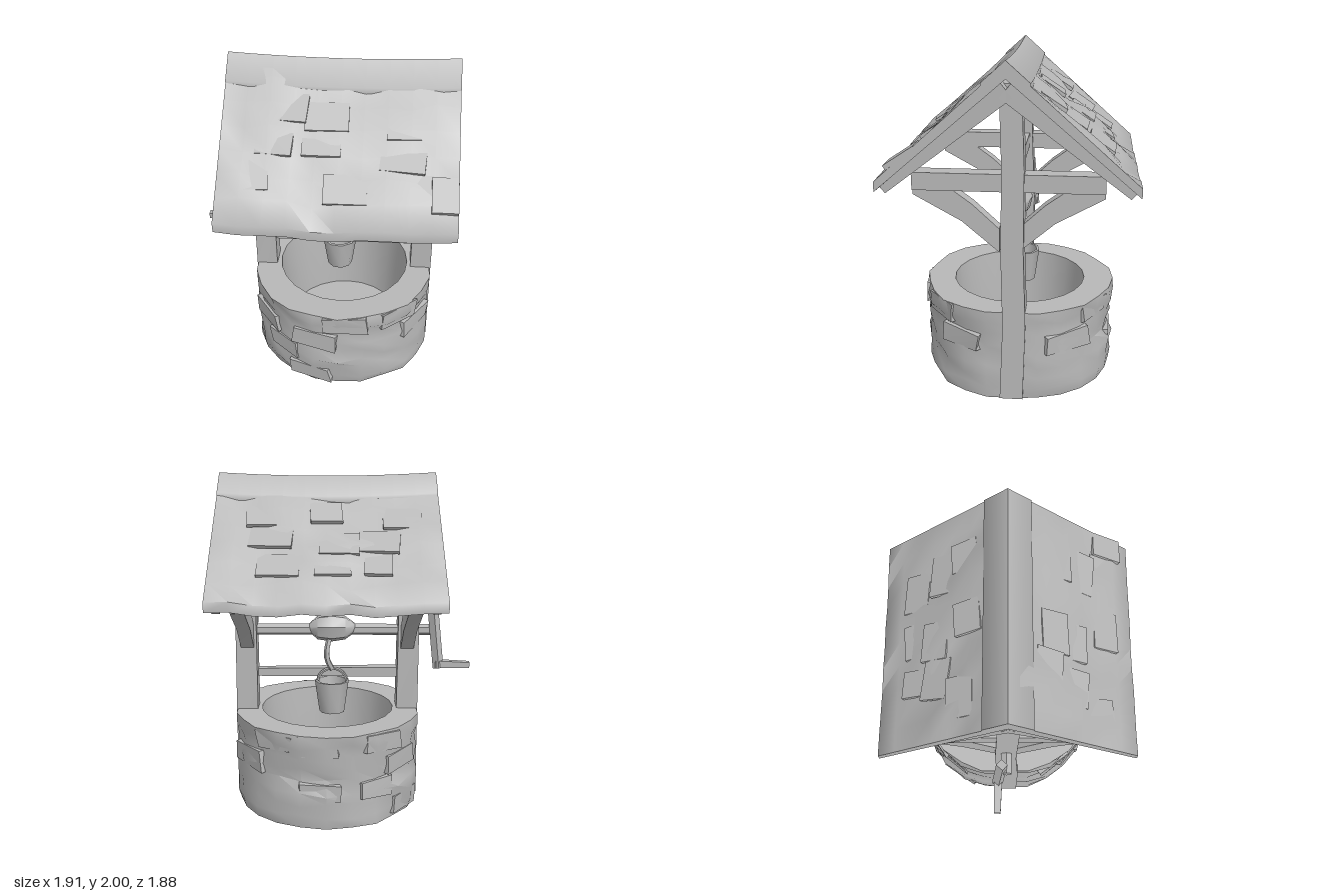
import * as THREE from 'three';
import { toCreasedNormals } from 'three/addons/utils/BufferGeometryUtils.js';

const TURN = 0.617; // the ridge runs diagonally to the front
const SLOPE = 0.73;
const DROP = 0.638; // fall of the roof from ridge to eave
const V = (x, y, z) => new THREE.Vector3(x, y, z);

// repeatable noise in -1..1, equal for equal positions
function noise(x, y, z) {
  const r = (n) => Math.round(n * 500) / 500;
  const s = Math.sin(r(x) * 127.1 + r(y) * 311.7 + r(z) * 74.7) * 43758.5453;
  return (s - Math.floor(s)) * 2 - 1;
}

function bend(geo, rule) {
  const p = geo.attributes.position, v = new THREE.Vector3();
  for (let i = 0; i < p.count; i++) {
    v.fromBufferAttribute(p, i);
    rule(v);
    p.setXYZ(i, v.x, v.y, v.z);
  }
  return geo;
}

export function createModel() {
  const model = new THREE.Group();
  model.name = 'well';
  const grey = new THREE.MeshStandardMaterial({ color: 0xb8b8b8 });
  grey.name = 'weathered grey';

  function add(name, geo, crease = 0.6) {
    const mesh = new THREE.Mesh(toCreasedNormals(geo, crease), grey);
    mesh.name = name;
    model.add(mesh);
    return mesh;
  }

  // timber of width w and height h between two points
  function beam(name, a, b, w, h, taper = 1) {
    const geo = bend(new THREE.BoxGeometry(w, h, a.distanceTo(b)), (v) => {
      if (v.z > 0) { v.x *= taper; v.y *= taper; }
    });
    const mesh = add(name, geo);
    mesh.position.copy(a).add(b).multiplyScalar(0.5);
    mesh.lookAt(b);
  }

  // stone ring with uneven courses, flattened behind the posts
  const profile = [[0, 0], [0.57, 0], [0.585, 0.07], [0.575, 0.14], [0.585, 0.21], [0.565, 0.28], [0.58, 0.35],
    [0.565, 0.42], [0.585, 0.49], [0.585, 0.56], [0.41, 0.56], [0.39, 0.3], [0.38, 0.04], [0, 0.04]];
  const ring = new THREE.LatheGeometry(profile.map(([x, y]) => new THREE.Vector2(x, y)), 24);
  const wall = add('stoneWall', bend(ring, (v) => {
    if (Math.hypot(v.x, v.z) < 0.5) return;
    const k = 1 + 0.025 * noise(v.x, v.y, v.z);
    v.x *= k;
    v.z = THREE.MathUtils.clamp(v.z * k, -0.555, 0.555);
    if (v.y > 0.01 && v.y < 0.55) v.y += 0.015 * noise(v.z, v.x, v.y);
  }), 0.9);
  wall.position.x = 0.018;

  // stones that stand slightly proud of the wall
  for (let row = 0; row < 4; row++) {
    for (let i = 0; i < 10; i++) {
      const a = (i + (row % 2) * 0.5) * Math.PI / 5 + 0.1 * noise(i, row, 1);
      if (noise(row, i, 3) < -0.1 || Math.abs(Math.sin(a)) < 0.5) continue;
      const w = 0.24 + 0.05 * noise(i, 2, row);
      const stone = add('wallStone', bend(new THREE.BoxGeometry(w, 0.11, 0.07), (v) => {
        v.x += 0.02 * noise(v.x + i, v.y, v.z + row);
        v.y += 0.012 * noise(v.y, v.x + row, v.z + i);
        v.z += 0.008 * noise(v.z, v.y + i, v.x);
      }));
      stone.position.set(0.018 + Math.sin(a) * 0.54, 0.075 + row * 0.14, Math.cos(a) * 0.54);
      stone.rotation.y = a;
    }
  }

  // one roof slope: t runs from ridge (0) to eave (1)
  function slope(name, s, reach, lift, thick, bump) {
    const geo = new THREE.BoxGeometry(1, 1, 1, reach < 0.5 ? 1 : 7, 1, 10);
    add(name, bend(geo, (v) => {
      const t = (0.5 + s * v.x) * reach, top = v.y > 0, z = v.z * 1.285;
      const inside = Math.abs(v.z) < 0.49 && t > 0.1 && t < 0.97;
      const sag = 0.02 * (1 - 4 * v.z * v.z);
      let y = 1.985 + lift - DROP * t - sag - (top ? 0 : thick * (1 - 0.3 * t));
      if (top && inside) y += bump * noise(t, s, z);
      if (t > 0.97 && Math.abs(v.z) < 0.49) y += 0.012 * noise(z, s, t);
      v.set(s * 0.716 * t, y, z);
    }), 0.9);
  }

  for (const s of [-1, 1]) {
    slope('roofSlope', s, 1, 0, 0.08, 0.028);
    slope('ridgeCap', s, 0.18, 0.015, 0.04, 0);
    // worn shingles with lifted lower edges
    for (let i = 0; i < 9; i++) {
      const t = 0.34 + 0.2 * (i % 3) + 0.05 * noise(i, s, 1);
      const z = (Math.floor(i / 3) - 1) * 0.36 + 0.1 * noise(s, i, 2);
      const shingle = add('shingle', new THREE.BoxGeometry(0.17, 0.02, 0.2 + 0.06 * noise(i, 3, s)));
      shingle.position.set(s * 0.716 * t, 1.964 - DROP * t, z);
      shingle.rotation.set(0, 0.12 * noise(i, s, 5), -s * (SLOPE - 0.14));
    }
  }
  const loose = add('looseShingle', new THREE.BoxGeometry(0.2, 0.03, 0.14));
  loose.position.set(-0.57, 1.48, 0.57);
  loose.rotation.z = SLOPE - 0.15;

  // frame at each gable
  const brace = [[0.05, 0.92], [0.26, 1.1], [0.53, 1.25], [0.53, 1.31], [0.35, 1.31], [0.2, 1.2], [0.05, 1.06]];
  for (const e of [-1, 1]) {
    const post = add('post', bend(new THREE.BoxGeometry(0.136, 1.87, 0.136, 1, 4, 1), (v) => {
      const k = 1 - 0.12 * (v.y / 1.87 + 0.5);
      v.x = v.x * k + 0.01 * noise(1, v.y, e);
      v.z *= k;
    }));
    post.position.set(0.015 + 0.008 * e, 0.936, e * 0.497);
    beam('tieBeam', V(-0.53, 1.33, e * 0.5), V(0.53, 1.33, e * 0.5), 0.1, 0.1);
    for (const s of [-1, 1]) {
      beam('rafter', V(0, 1.85, e * 0.585), V(s * 0.68, 1.296, e * 0.585), 0.09, 0.11, 0.5);
      const shape = new THREE.Shape(brace.map(([x, y]) => new THREE.Vector2(s * x, y)));
      const geo = new THREE.ExtrudeGeometry(shape, { depth: 0.08, bevelEnabled: false });
      add('brace', geo).position.z = e * 0.49 - 0.04;
    }
  }

  // lengthwise timbers
  beam('longBeam', V(0, 1.34, -0.46), V(0, 1.34, 0.46), 0.09, 0.09);
  beam('crossRail', V(-0.01, 0.78, -0.46), V(-0.01, 0.775, 0.46), 0.07, 0.06, 0.8);

  // windlass, rope and crank
  const axle = add('axle', new THREE.CylinderGeometry(0.035, 0.035, 1.16, 6));
  axle.rotation.x = Math.PI / 2;
  axle.position.set(0.01, 1.05, -0.1);
  const coil = new THREE.LatheGeometry([[0.03, -0.14], [0.075, -0.08], [0.088, 0], [0.075, 0.09], [0.03, 0.14]]
    .map(([x, y]) => new THREE.Vector2(x, y)), 7);
  const coilMesh = add('ropeCoil', coil, 0.8);
  coilMesh.rotation.x = Math.PI / 2;
  coilMesh.position.set(0.01, 1.06, -0.03);
  const path = new THREE.CatmullRomCurve3([V(0.03, 1.02, -0.02), V(0.05, 0.94, 0), V(0.05, 0.87, 0), V(0.034, 0.8, -0.03)]);
  add('rope', new THREE.TubeGeometry(path, 8, 0.018, 5), 1);
  beam('crankArm', V(0.035, 1.16, -0.65), V(0.065, 0.82, -0.685), 0.05, 0.045);
  beam('crankHandle', V(0.06, 0.845, -0.665), V(0.065, 0.84, -0.875), 0.05, 0.045, 0.8);

  // bucket with an open top
  const pail = [[0, 0], [0.08, 0], [0.108, 0.2], [0.092, 0.2], [0.07, 0.03], [0, 0.03]];
  const bucket = add('bucket', new THREE.LatheGeometry(pail.map(([x, y]) => new THREE.Vector2(x, y)), 9), 0.9);
  bucket.position.set(0.034, 0.53, -0.03);
  const handle = add('bucketHandle', new THREE.TorusGeometry(0.092, 0.01, 5, 8, Math.PI), 1);
  handle.position.set(0.034, 0.715, -0.03);
  handle.rotation.y = Math.PI / 2;

  model.rotation.y = TURN;
  const root = new THREE.Group();
  root.name = 'wishingWell';
  root.add(model);
  return root;
}
